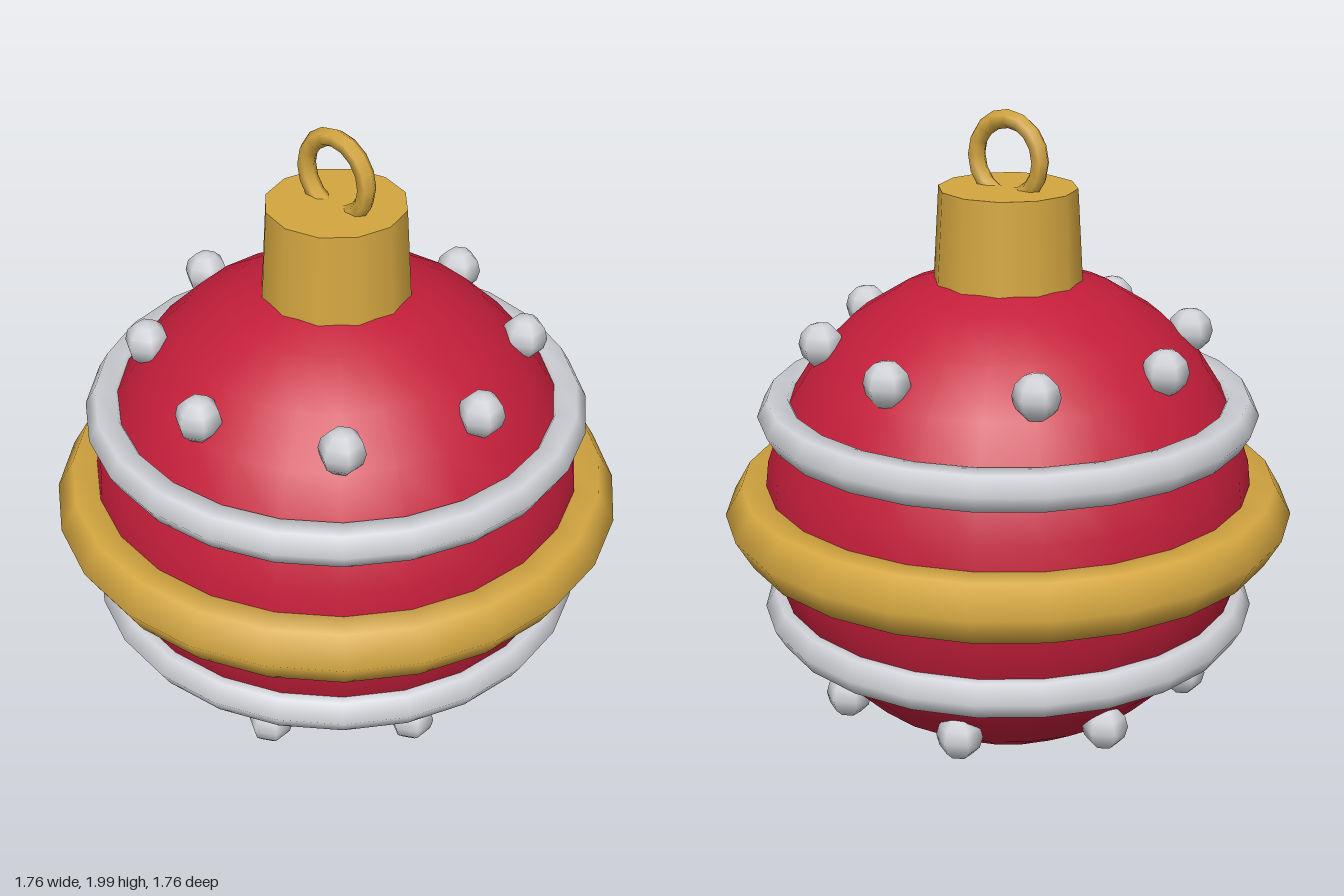
import * as THREE from 'three';

const paint = (name, color) => {
  const m = new THREE.MeshStandardMaterial({ color });
  m.name = name;
  return m;
};

export function createModel() {
  const red = paint('red', 0xc41e3a);
  const gold = paint('gold', 0xd4a640);
  const silver = paint('silver', 0xd0d1d6);
  const group = new THREE.Group();
  group.name = 'bauble';

  const add = (name, geometry, material, x, y, z) => {
    const mesh = new THREE.Mesh(geometry, material);
    mesh.name = name;
    mesh.position.set(x, y, z);
    group.add(mesh);
    return mesh;
  };

  const midY = 0.77;

  // round body
  add('body', new THREE.SphereGeometry(0.76, 24, 14), red, 0, midY, 0);

  // horizontal bands with a six-sided section
  const band = (name, radius, tube, material, y) =>
    add(name, new THREE.TorusGeometry(radius, tube, 6, 24).rotateX(Math.PI / 2), material, 0, y, 0);
  band('middleBand', 0.774, 0.104, gold, midY);
  band('upperBand', 0.706, 0.062, silver, midY + 0.315);
  band('lowerBand', 0.706, 0.062, silver, midY - 0.315);

  // two rows of eight studs, the lower row turned by half a step
  const studGeometry = new THREE.SphereGeometry(0.07, 6, 6).rotateY(Math.PI / 2);
  const studRow = (name, y, radius, offset) => {
    for (let i = 0; i < 8; i++) {
      const a = (i + offset) * Math.PI / 4;
      add(name, studGeometry, silver, Math.sin(a) * radius, y, Math.cos(a) * radius);
    }
  };
  studRow('upperStud', 1.305, 0.566, 0);
  studRow('lowerStud', 0.243, 0.57, 0.5);

  // cap and hanging loop
  add('cap', new THREE.CylinderGeometry(0.209, 0.226, 0.28, 12), gold, 0, 1.63, 0);
  add('hangingLoop', new THREE.TorusGeometry(0.117, 0.028, 6, 16), gold, 0, 1.855, 0);

  return group;
}
